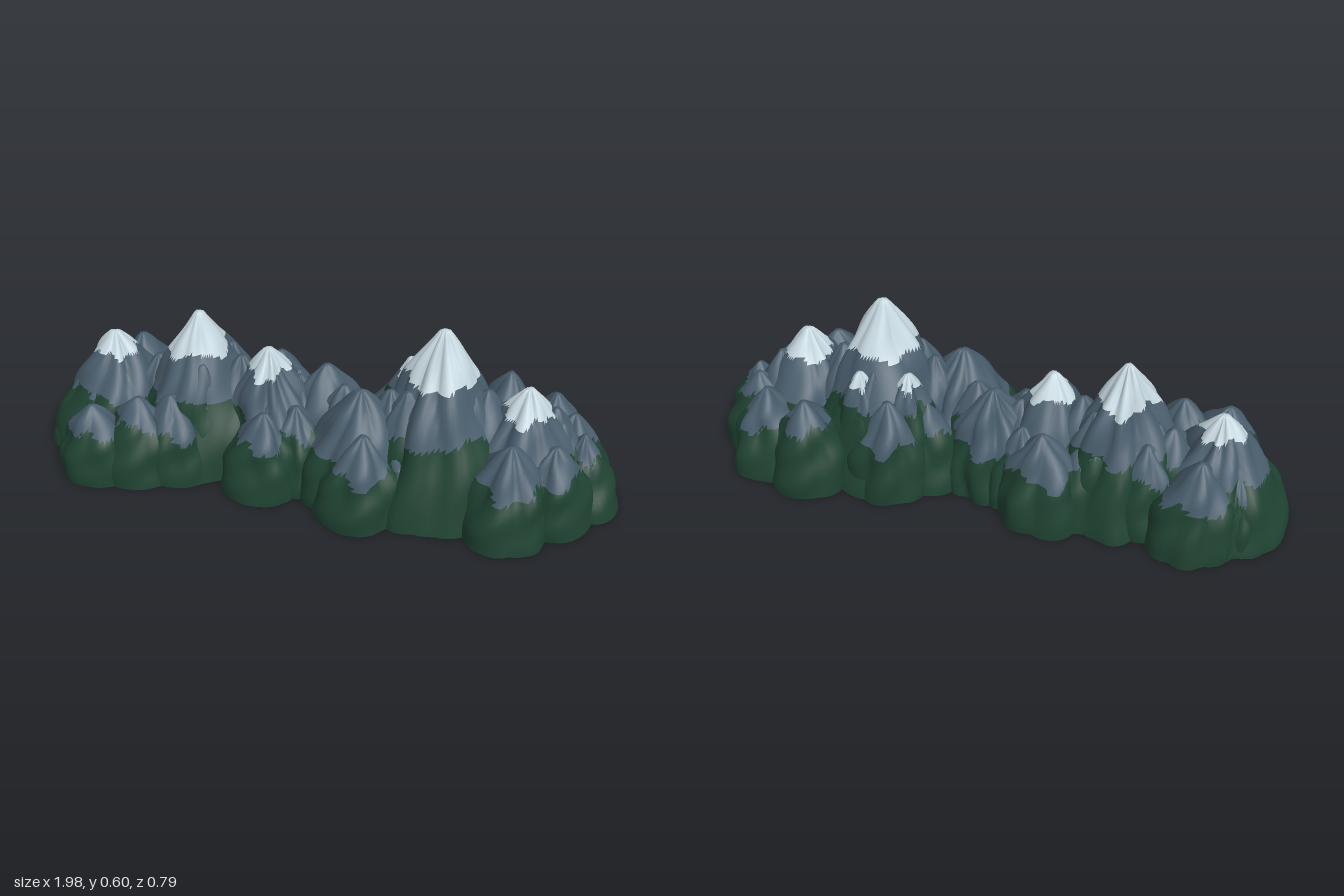
import * as THREE from 'three';

const paint = (name, color) => {
  const m = new THREE.MeshStandardMaterial({ color });
  m.name = name;
  return m;
};

// small seeded random generator
function seeded(seed) {
  let s = seed * 7919 + 13;
  return () => (s = (s * 16807) % 2147483647) / 2147483647;
}

// One ridged mountain: gullied rings from base to tip, coloured in height bands.
// p sets the profile (low = pointed, high = domed); lean shifts the tip sideways.
function mountain({ x, z, h, r, p, tree, snow, seed, lobes, segs, rings, lean }) {
  const rnd = seeded(seed);
  for (let i = 0; i < 5; i++) rnd();
  const f1 = rnd() * 6.28, f2 = rnd() * 6.28, f3 = rnd() * 6.28, twist = (rnd() - 0.5) * 0.8;
  const lx = Math.cos(f2) * lean * r, lz = Math.sin(f2) * lean * r;

  // rounded lobes parted by sharp gullies that wander with height, plus rock ledges
  const ridge = (a, t) => {
    const w = a + 0.3 * Math.sin(a + f3) + 0.18 * Math.sin(2 * a + f2) + twist * t + 0.08 * Math.sin(8 * t + f3);
    const big = Math.abs(Math.sin(w * lobes / 2 + f1));
    const small = Math.abs(Math.sin(w * (lobes - 2) + f3 + 2 * t));
    const depth = (0.1 + 0.2 * t) * (0.75 + 0.35 * Math.sin(a + f1));
    return 1.01 - depth * (1 - big) - 0.05 * (1 - small) + 0.03 * Math.sin(2 * a + f3)
      + 0.14 * t * Math.sin(2 * a + f1) * Math.sin(7 * t + f3)
      + 0.08 * t * Math.sin(14 * t + 3 * a + f2);
  };

  const pos = [];
  const ring = (t) => {
    for (let j = 0; j < segs; j++) {
      const a = j / segs * Math.PI * 2;
      const d = r * (1 - Math.pow(t, p)) * ridge(a, t);
      pos.push(x + lx * t + d * Math.cos(a), h * t / 0.97, z + lz * t + d * Math.sin(a));
    }
  };
  for (let i = 0; i < rings; i++) ring(i / (rings - 1) * 0.96);
  const apex = pos.length / 3;
  pos.push(x + lx, h, z + lz);
  const floor = apex + 1;
  ring(0);
  const centre = pos.length / 3;
  pos.push(x, 0, z);

  // sort the faces into forest, rock and snow
  const bands = [[], [], []];
  const face = (a, b, c) => {
    const y = (pos[a * 3 + 1] + pos[b * 3 + 1] + pos[c * 3 + 1]) / 3;
    const ang = Math.atan2(pos[a * 3 + 2] - z, pos[a * 3] - x);
    const n = 0.011 * Math.sin(3 * ang + f1) + 0.006 * Math.sin(7 * ang + f2);
    bands[y > snow + n ? 2 : y > tree + n * 1.4 ? 1 : 0].push(a, b, c);
  };
  for (let j = 0; j < segs; j++) {
    const k = (j + 1) % segs;
    for (let i = 0; i < rings - 1; i++) {
      const a = i * segs + j, b = i * segs + k;
      face(a, a + segs, b);
      face(b, a + segs, b + segs);
    }
    face((rings - 1) * segs + j, apex, (rings - 1) * segs + k);
    bands[0].push(centre, floor + j, floor + k);
  }

  const g = new THREE.BufferGeometry();
  g.setAttribute('position', new THREE.Float32BufferAttribute(pos, 3));
  g.setIndex(bands.flat());
  let start = 0;
  bands.forEach((b, i) => {
    if (b.length) g.addGroup(start, b.length, i);
    start += b.length;
  });
  g.computeVertexNormals();
  return g;
}

export function createModel() {
  const model = new THREE.Group();
  model.name = 'mountainRange';
  const materials = [
    paint('forest green', 0x1f4232),
    paint('slate rock', 0x495d6c),
    paint('snow', 0xc5d6de),
  ];
  let seed = 1;
  const add = (name, spec) => {
    const mesh = new THREE.Mesh(mountain({ seed: seed++, segs: 44, rings: 20, lobes: 5, ...spec }), materials);
    mesh.name = name;
    model.add(mesh);
  };

  // main peaks: x, z, height, radius, tree line, snow line, profile
  const peaks = [
    [0.38, 0.03, 0.595, 0.31, 0.27, 0.425, 1.35],
    [-0.44, -0.07, 0.525, 0.27, 0.25, 0.39, 1.4],
    [-0.75, -0.1, 0.4, 0.25, 0.21, 0.33, 1.6],
    [-0.2, -0.03, 0.43, 0.22, 0.22, 0.35, 1.8],
    [0.66, 0.06, 0.425, 0.26, 0.21, 0.335, 1.5],
    [-0.01, -0.07, 0.36, 0.17, 0.17, 1, 2.3],
    [0.13, 0.1, 0.385, 0.22, 0.18, 1, 2],
  ];
  peaks.forEach(([x, z, h, r, tree, snow, p], n) => {
    add('peak', { x, z, h, r, tree, snow, p, lobes: 7, segs: 72, rings: 40, lean: 0 });
    // broad crags leaning on the flanks
    for (let k = 0; k < 3; k++) {
      const a = k * 2.09 + n * 0.9 + 0.5;
      const d = r * 0.38;
      add('crag', {
        x: x + d * Math.cos(a), z: z + d * Math.sin(a),
        h: h * (0.67 + 0.05 * Math.sin(k * 3.1 + n)), r: r * 0.48,
        tree, snow, p: 2.2, segs: 36, rings: 18, lean: 0.1,
      });
    }
  });

  // rocky saddles joining the peaks: x, z, height, radius
  const saddles = [
    [-0.6, -0.1, 0.32, 0.16], [-0.3, -0.06, 0.37, 0.16], [-0.1, -0.05, 0.32, 0.14],
    [0.06, 0, 0.33, 0.15], [0.22, 0.06, 0.37, 0.15], [0.53, 0.04, 0.39, 0.16], [0.75, 0.03, 0.34, 0.14],
  ];
  for (const [x, z, h, r] of saddles) {
    add('saddle', { x, z, h, r, tree: 0.22, snow: 1, p: 2.2, lean: 0 });
  }

  // snowy shoulders behind the highest peak
  for (const x of [0.27, 0.42]) {
    add('shoulder', { x, z: -0.11, h: 0.4, r: 0.12, tree: 0.29, snow: 0.355, p: 2.6, lean: 0.1 });
  }

  // foothills round the edge: x, z, height, radius
  const hills = [
    [-0.76, 0.13, 0.25, 0.145], [-0.63, 0.12, 0.28, 0.145], [-0.5, 0.08, 0.28, 0.15],
    [-0.2, 0.135, 0.28, 0.145], [-0.08, 0.07, 0.27, 0.145], [0.14, 0.21, 0.29, 0.16],
    [0.28, 0.15, 0.28, 0.15], [0.45, 0.14, 0.28, 0.15], [0.62, 0.24, 0.31, 0.16],
    [0.76, 0.15, 0.28, 0.15], [0.81, -0.02, 0.28, 0.14],
    [-0.69, -0.25, 0.31, 0.15], [-0.54, -0.17, 0.3, 0.14], [-0.81, -0.2, 0.24, 0.115],
    [-0.21, -0.21, 0.31, 0.155], [-0.11, -0.14, 0.28, 0.125], [-0.32, -0.15, 0.29, 0.14],
    [0.33, -0.16, 0.33, 0.15], [0.21, -0.11, 0.3, 0.13],
    [0.6, -0.185, 0.31, 0.15], [0.76, -0.14, 0.29, 0.14],
  ];
  hills.forEach(([x, z, h, r], i) => add('foothill', {
    x, z, h, r, tree: h * (0.66 + 0.08 * Math.sin(i * 2.1)), snow: 1, p: 2.3, lean: 0.1,
  }));

  // low slopes at both ends
  for (const side of [-1, 1]) {
    add('endSlope', { x: side * 0.85, z: side * 0.05, h: 0.26, r: 0.15, tree: 0.19, snow: 1, p: 1.5, lean: 0 });
  }
  return model;
}
